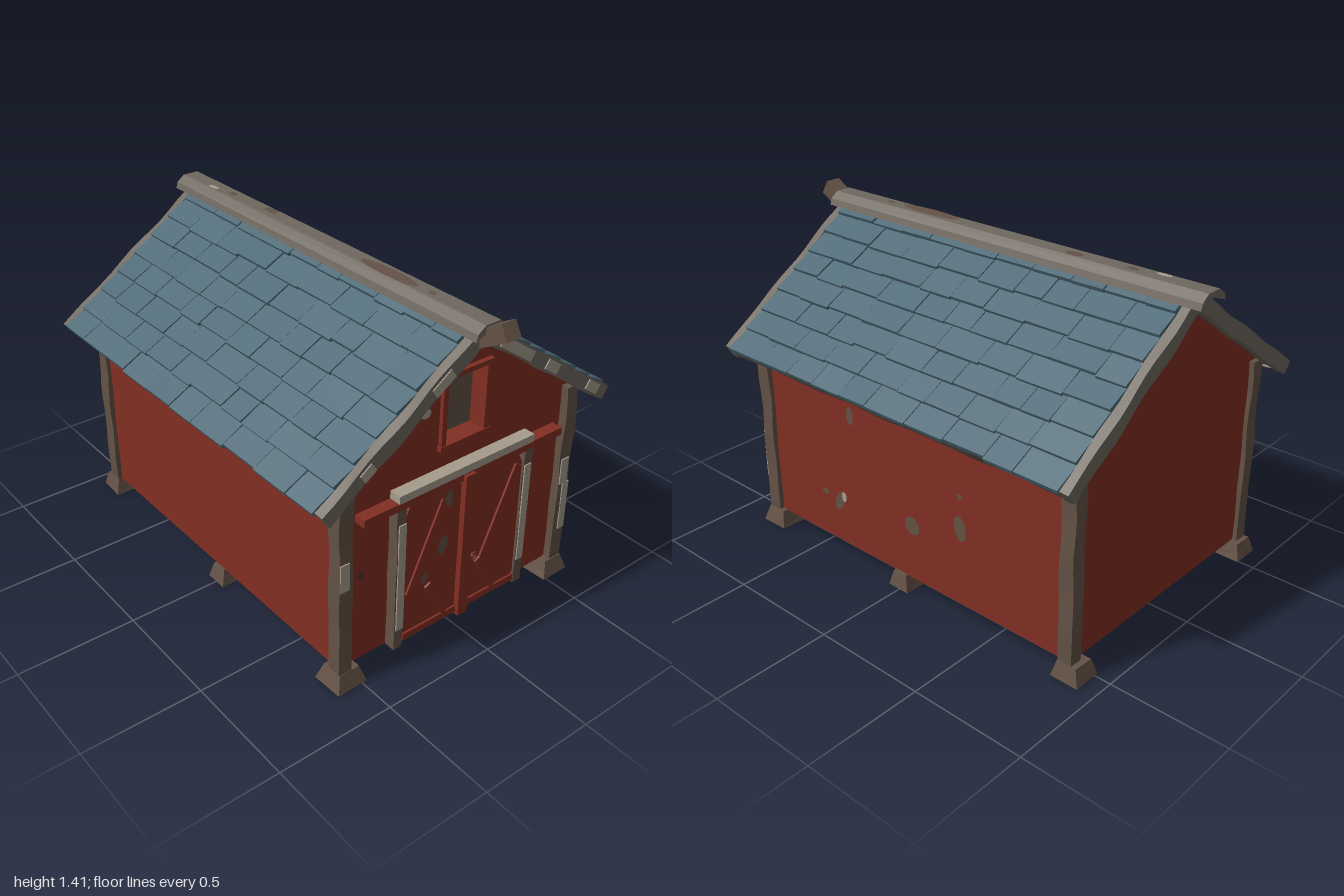
import * as THREE from 'three';
import { mergeGeometries } from 'three/addons/utils/BufferGeometryUtils.js';

const mat = (name, color) => Object.assign(new THREE.MeshStandardMaterial({ color }), { name });
const red = mat('barnRed', 0x812e23);
const blue = mat('slateBlue', 0x4d6976);
const brown = mat('woodBrown', 0x645246);
const grey = mat('weatheredGrey', 0x6f685f);
const pale = mat('palePaint', 0xa59c8d);
const dark = mat('darkWood', 0x40342e);

const SLOPE = Math.atan2(0.5, 0.72);

function add(parent, name, geo, material, x = 0, y = 0, z = 0) {
  const m = new THREE.Mesh(geo, material);
  m.name = name;
  m.position.set(x, y, z);
  parent.add(m);
  return m;
}

// Box given by its limits
function box(parent, name, material, x0, x1, y0, y1, z0, z1) {
  return add(parent, name, new THREE.BoxGeometry(x1 - x0, y1 - y0, z1 - z0), material,
    (x0 + x1) / 2, (y0 + y1) / 2, (z0 + z1) / 2);
}

// Gentle hand-hewn waviness
function wobble(geo, amount, phase = 0) {
  const p = geo.attributes.position;
  for (let i = 0; i < p.count; i++) {
    const x = p.getX(i), y = p.getY(i), z = p.getZ(i), t = (x + y + z) * 15 + phase;
    p.setXYZ(i, x + amount * Math.sin(t + y * 6), y + amount * Math.sin(t * 1.3 + z * 4), z + amount * Math.cos(t));
  }
  geo.computeVertexNormals();
  return geo;
}

// Small seeded generator
function seeded(s) {
  return () => (s = (s * 16807) % 2147483647) / 2147483647;
}

// Thin oval of worn paint facing +z
function oval(parent, material, x, y, z, rx, ry, tilt = 0) {
  const m = add(parent, 'wornPatch', new THREE.CircleGeometry(1, 14), material, x, y, z);
  m.scale.set(rx, ry, 1);
  m.rotation.z = tilt;
  return m;
}

function extrude(points, depth, hole) {
  const v = (a) => a.map(([x, y]) => new THREE.Vector2(x, y));
  const s = new THREE.Shape(v(points));
  if (hole) s.holes.push(new THREE.Path(v(hole)));
  return new THREE.ExtrudeGeometry(s, { depth, bevelEnabled: false });
}

function buildWalls(g) {
  const gable = [[-0.575, 0.07], [0.575, 0.07], [0.575, 0.91], [0, 1.31], [-0.575, 0.91]];
  const opening = [[-0.095, 0.875], [-0.095, 1.145], [0.095, 1.145], [0.095, 0.875]];
  add(g, 'barnBody', extrude(gable, 1.59), red, 0, 0, -0.87);
  add(g, 'frontWall', extrude(gable, 0.065, opening), red, 0, 0, 0.72);

  // Loft window
  box(g, 'loftWindowBack', brown, -0.095, 0.095, 0.875, 1.145, 0.72, 0.727);
  const shade = extrude([[-0.095, 1.06], [-0.06, 1.12], [0.095, 1.12], [0.095, 1.145], [-0.095, 1.145]], 0.004);
  add(g, 'loftWindowShade', shade, dark, 0, 0, 0.727);
  for (const s of [-1, 1]) {
    box(g, 'windowFrameSide', red, s * 0.106 - 0.011, s * 0.106 + 0.011, 0.86, 1.16, 0.78, 0.802);
    box(g, 'windowFrameRail', red, -0.122, 0.122, 1.01 + s * 0.145 - 0.01, 1.01 + s * 0.145 + 0.01, 0.78, 0.806);
  }

  // Corner posts and foundation blocks
  for (const s of [-1, 1]) {
    for (const z of [0.787, -0.858]) {
      const post = new THREE.BoxGeometry(0.06, 0.85, 0.064, 1, 12, 1);
      add(g, 'cornerPost', wobble(post, 0.003, s + z), brown, s * 0.565, 0.475, z);
    }
    for (const [z, w] of [[0.775, 0.068], [0, 0.05], [-0.87, 0.06]]) {
      const foot = new THREE.CylinderGeometry(w * 1.0, w * 1.414, 0.07, 4, 2).toNonIndexed();
      foot.rotateY(Math.PI / 4);
      add(g, 'foundationBlock', wobble(foot, 0.003, z), brown, s * 0.55, 0.036, z);
    }
  }
  box(g, 'postPaint', pale, -0.594, -0.553, 0.46, 0.58, 0.82, 0.825);
  box(g, 'postPaint', pale, 0.558, 0.593, 0.22, 0.45, 0.82, 0.825);
  box(g, 'postPaint', pale, 0.538, 0.578, 0.45, 0.57, 0.82, 0.825);

  // Worn spots on the front and on one side wall
  oval(g, pale, -0.185, 1.033, 0.788, 0.023, 0.02);
  oval(g, dark, -0.472, 0.46, 0.788, 0.016, 0.012);
  oval(g, brown, 0.378, 0.435, 0.788, 0.012, 0.016);
  const side = new THREE.Group();
  side.name = 'sideWallWear';
  side.position.x = 0.578;
  side.rotation.y = Math.PI / 2;
  g.add(side);
  for (const [z, y, rx, ry, t] of [[0.27, 0.69, 0.02, 0.04, 0], [0.36, 0.265, 0.025, 0.052, -0.4],
    [0.45, 0.28, 0.02, 0.013, 0], [-0.07, 0.32, 0.04, 0.04, 0], [-0.33, 0.415, 0.03, 0.055, 0.15],
    [-0.33, 0.555, 0.013, 0.013, 0]]) oval(side, brown, -z, y, 0, rx, ry, t);
  oval(side, pale, -0.33, 0.295, 0.002, 0.014, 0.024);
}

function buildDoors(g) {
  box(g, 'doorBacking', brown, -0.34, 0.34, 0.08, 0.74, 0.78, 0.797);
  box(g, 'doorRail', red, -0.5, 0.5, 0.71, 0.742, 0.78, 0.835);
  box(g, 'doorLintel', pale, -0.34, 0.34, 0.742, 0.775, 0.78, 0.838);
  box(g, 'doorCentrePost', red, -0.025, 0.025, 0.08, 0.735, 0.79, 0.85);
  for (const s of [-1, 1]) {
    const jamb = new THREE.BoxGeometry(0.042, 0.65, 0.05, 1, 8, 1);
    add(g, 'doorJamb', wobble(jamb, 0.002, s), brown, s * 0.321, 0.395, 0.808);
    const low = s < 0 ? 0.16 : 0.19;
    box(g, 'jambPaint', pale, s * 0.32 - 0.017, s * 0.32 + 0.017, low, 0.645, 0.833, 0.839);

    // Door leaf with softened outer corners and a diagonal brace
    const leaf = extrude([[0.02, 0.085], [0.26, 0.085], [0.297, 0.13], [0.297, 0.66], [0.275, 0.705],
      [0.24, 0.725], [0.06, 0.725], [0.02, 0.7]].map(([x, y]) => [s * x, y]), 0.03);
    add(g, 'doorLeaf', leaf, red, 0, 0, 0.795);
    const brace = add(g, 'doorBrace', new THREE.BoxGeometry(0.035, 0.4, 0.012), red, s * 0.19, 0.48, 0.828);
    brace.rotation.z = -0.42;
    const lower = add(g, 'lowerBrace', new THREE.BoxGeometry(0.03, 0.2, 0.012), red, s * 0.13, 0.21, 0.828);
    lower.rotation.z = 0.5;
    box(g, 'doorFootRail', red, s * 0.16 - 0.135, s * 0.16 + 0.135, 0.09, 0.12, 0.82, 0.834);
  }
  oval(g, brown, -0.115, 0.46, 0.836, 0.024, 0.04, -0.2);
  oval(g, brown, -0.2, 0.345, 0.836, 0.017, 0.024, -0.3);
  oval(g, brown, -0.095, 0.665, 0.836, 0.018, 0.04);
  add(g, 'doorRing', new THREE.TorusGeometry(0.017, 0.005, 6, 14), red, 0.062, 0.32, 0.83);
  add(g, 'doorRingCentre', new THREE.SphereGeometry(0.008, 8, 6), dark, 0.062, 0.32, 0.829);
}

// One roof slope: local x runs down the slope, local y is its outward normal
function buildSlope(front, seed) {
  const slope = new THREE.Group();
  slope.name = 'roofSlope';
  slope.position.y = 1.362;
  slope.rotation.z = -SLOPE;
  box(slope, 'roofDeck', brown, 0, 0.855, -0.05, -0.012, -0.88, 0.88);

  // Overlapping shingles, each row tilted over the next one
  const rand = seeded(seed), tiles = [], rows = 8, step = 0.872 / rows;
  for (let r = 0; r < rows; r++) {
    let z = -0.872;
    while (z < 0.871) {
      let w = 0.13 + rand() * 0.09;
      if (0.872 - z - w < 0.08) w = 0.872 - z;
      const tile = new THREE.BoxGeometry(step * 1.15, 0.02, w - 0.003);
      tile.rotateX((rand() - 0.5) * 0.03);
      tile.rotateZ(0.1 + rand() * 0.05);
      tile.translate((r + 0.46) * step + (rand() - 0.5) * 0.012, -0.006 + rand() * 0.004, z + w / 2);
      tiles.push(tile);
      z += w;
    }
  }
  add(slope, 'shingles', mergeGeometries(tiles), blue);

  // Gable boards and eave strip
  for (const s of [-1, 1]) {
    const board = new THREE.BoxGeometry(0.87, 0.06, 0.04, 14, 1, 1);
    add(slope, 'gableBoard', wobble(board, 0.003, s + seed), grey, 0.435, -0.03, s * 0.89);
  }
  const eave = new THREE.BoxGeometry(0.03, 0.045, 1.76, 1, 1, 20);
  add(slope, 'eaveStrip', wobble(eave, 0.003, seed), brown, 0.85, -0.036, 0);

  // Worn paint on the front gable board
  const spots = front > 0 ? [[0.12, 0.32], [0.42, 0.5], [0.72, 0.8]] : [[0.2, 0.3], [0.62, 0.68]];
  for (const [a, b] of spots)
    box(slope, 'gableBoardPaint', pale, a, b, -0.05, -0.008, front * 0.9135 - 0.002, front * 0.9135 + 0.002);
  return slope;
}

function buildRoof(g) {
  for (const s of [1, -1]) {
    const half = new THREE.Group();
    half.name = s > 0 ? 'leftRoof' : 'rightRoof';
    half.position.z = -0.04;
    half.rotation.y = s > 0 ? 0 : Math.PI;
    half.add(buildSlope(s, s > 0 ? 71 : 1933));
    g.add(half);
  }
  // Ridge cap
  const cap = extrude([[-0.078, 1.325], [0, 1.355], [0.078, 1.325], [0.07, 1.352], [0.035, 1.378],
    [-0.035, 1.378], [-0.07, 1.352]], 1.9);
  add(g, 'ridgeCap', cap, grey, 0, 0, -1);
  for (const [x, z, rx, rz] of [[-0.01, 0.37, 0.03, 0.16], [0.012, -0.4, 0.02, 0.04], [0, -0.66, 0.016, 0.025],
    [-0.005, 0.6, 0.012, 0.02]]) oval(g, brown, x, 1.3795, z, rx, rz).rotation.x = -Math.PI / 2;
  oval(g, pale, -0.02, 1.3795, -0.78, 0.012, 0.035).rotation.x = -Math.PI / 2;

  // Hoist beam rising out of the gable
  const beam = new THREE.BoxGeometry(0.068, 0.066, 0.26);
  add(g, 'hoistBeam', beam, brown, 0, 1.315, 0.8705).rotation.x = -Math.PI / 6;
}

export function createModel() {
  const g = new THREE.Group();
  g.name = 'barn';
  buildWalls(g);
  buildDoors(g);
  buildRoof(g);
  return g;
}
